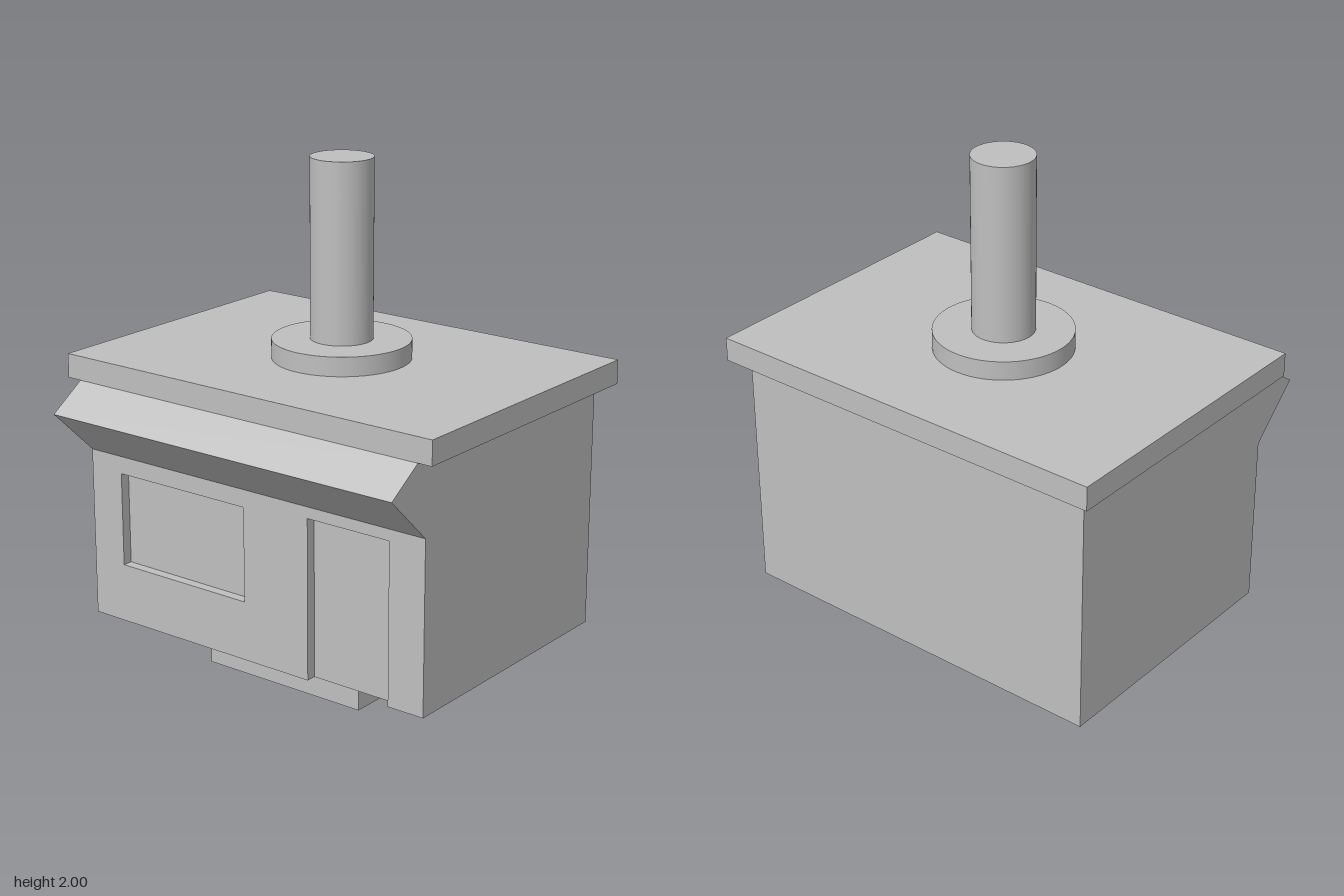
import * as THREE from 'three';

export function createModel() {
  const group = new THREE.Group();
  group.name = 'kioskHut';

  const grey = new THREE.MeshStandardMaterial({ color: 0xbfbfbf });
  grey.name = 'plain grey';

  const add = (name, geometry, x = 0, y = 0, z = 0) => {
    const mesh = new THREE.Mesh(geometry, grey);
    mesh.name = name;
    mesh.position.set(x, y, z);
    group.add(mesh);
    return mesh;
  };
  const polygon = (points) => points.map(([x, y]) => new THREE.Vector2(x, y));
  // Box given by its bottom, top, back and front, centred on x
  const slab = (name, width, y0, y1, z0, z1) =>
    add(name, new THREE.BoxGeometry(width, y1 - y0, z1 - z0), 0, (y0 + y1) / 2, (z0 + z1) / 2);
  // Upright cylinder given by its bottom and top
  const post = (name, radius, y0, y1, z) =>
    add(name, new THREE.CylinderGeometry(radius, radius, y1 - y0, 64), 0, (y0 + y1) / 2, z);

  const halfWidth = 0.79;
  const floor = 0.165, eaves = 1.135, awningFoot = 0.845;
  const front = 0.48, recess = 0.44, back = -0.615;

  // Body and awning: one side profile (z, y) extruded across the width
  const profile = new THREE.Shape(polygon([
    [back, floor], [recess, floor], [recess, awningFoot], [front, awningFoot],
    [0.68, 1.035], [0.53, eaves], [back, eaves],
  ]));
  const body = new THREE.ExtrudeGeometry(profile, { depth: 2 * halfWidth, bevelEnabled: false });
  body.rotateY(-Math.PI / 2).translate(halfWidth, 0, 0);
  add('bodyAndAwning', body);

  // Front wall: door notch in the outline, window as a hole
  const wall = new THREE.Shape(polygon([
    [-halfWidth, floor], [0.27, floor], [0.27, 0.8], [0.635, 0.8], [0.635, floor],
    [halfWidth, floor], [halfWidth, awningFoot], [-halfWidth, awningFoot],
  ]));
  wall.holes.push(new THREE.Path(polygon([
    [-0.64, 0.4], [-0.64, 0.775], [-0.03, 0.775], [-0.03, 0.4],
  ])));
  add('frontWall', new THREE.ExtrudeGeometry(wall, { depth: front - recess, bevelEnabled: false }), 0, 0, recess);

  // Base and roof
  slab('base', 0.725, 0, floor, -0.435, 0.292);
  slab('roof', 1.7, eaves, 1.23, -0.68, 0.533);

  // Round collar and chimney
  post('chimneyCollar', 0.267, 1.23, 1.305, -0.074);
  post('chimney', 0.12, 1.305, 2, -0.074);

  return group;
}
